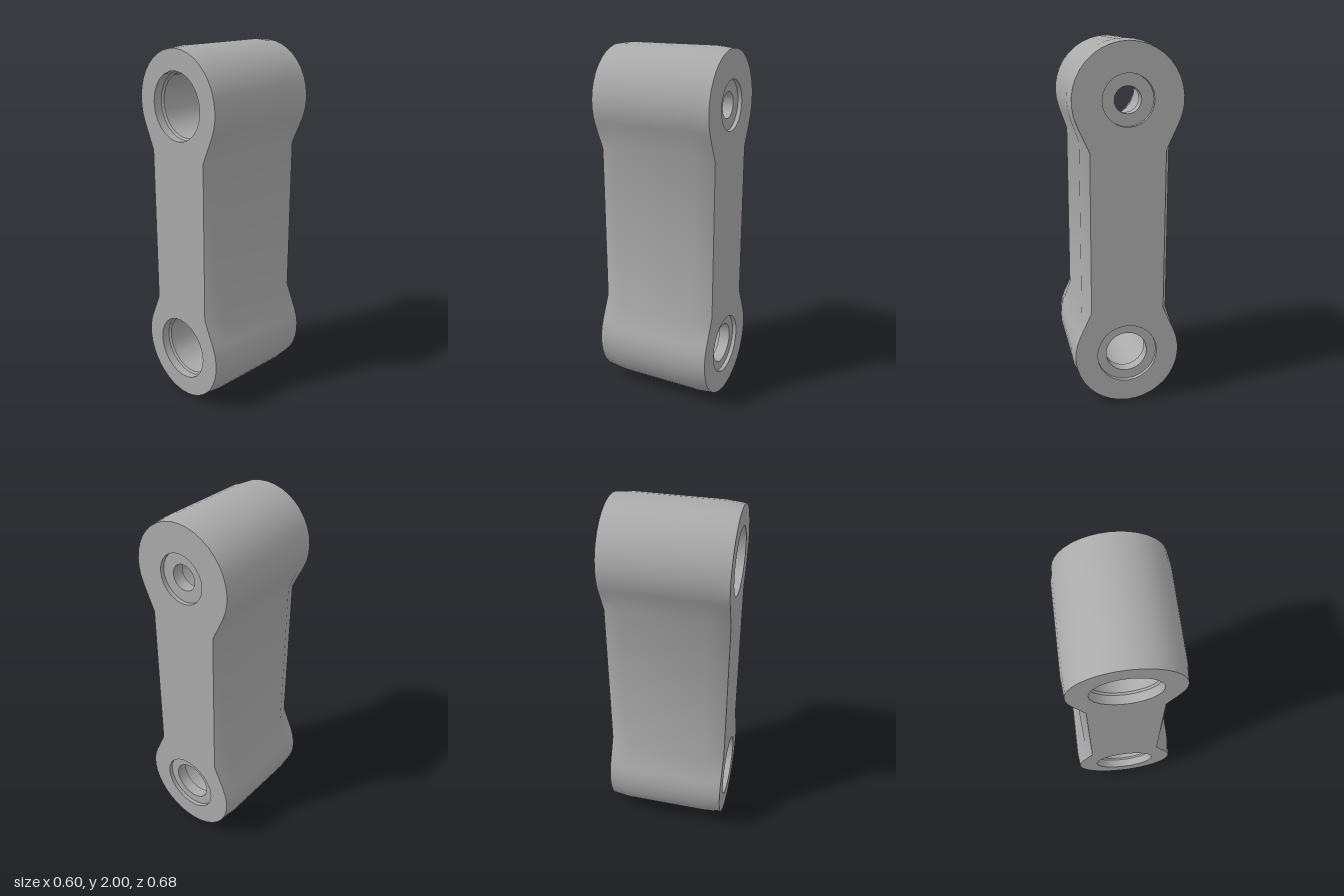
import * as THREE from 'three';
import { toCreasedNormals } from 'three/addons/utils/BufferGeometryUtils.js';

const HALF_DEPTH = 0.3375;
const LOW = 0.3, HIGH = 1.7; // lobe centres
const ARC = 24, SIDES = 24;

// Dog-bone outline, counter-clockwise: two lobes tangent to a straight waist
function outline(radius, waist, cornerDrop) {
  const tangent = Math.acos(radius / Math.hypot(waist, cornerDrop)) - Math.atan2(cornerDrop, waist);
  const upper = [new THREE.Vector2(waist, HIGH - cornerDrop)];
  for (let i = 0; i <= ARC; i++) {
    const a = tangent + (Math.PI - 2 * tangent) * i / ARC;
    upper.push(new THREE.Vector2(radius * Math.cos(a), HIGH + radius * Math.sin(a)));
  }
  upper.push(new THREE.Vector2(-waist, HIGH - cornerDrop));
  const lower = upper.map(p => new THREE.Vector2(-p.x, LOW + HIGH - p.y));
  return [...upper, ...lower];
}

// Side wall lofted through outlines at several depths
function loft(layers) {
  const n = layers[0].points.length, pos = [], index = [];
  for (const { points, z } of layers) for (const p of points) pos.push(p.x, p.y, z);
  for (let k = 0; k < layers.length - 1; k++) {
    for (let i = 0; i < n; i++) {
      const j = (i + 1) % n;
      const a = k * n + i, b = k * n + j, c = a + n, d = b + n;
      index.push(a, c, b, b, c, d);
    }
  }
  const g = new THREE.BufferGeometry();
  g.setAttribute('position', new THREE.Float32BufferAttribute(pos, 3));
  g.setIndex(index);
  return toCreasedNormals(g, 0.7);
}

// Flat end face with one round opening per lobe
function face(points, lowRadius, highRadius) {
  const shape = new THREE.Shape(points);
  for (const [y, r] of [[LOW, lowRadius], [HIGH, highRadius]]) {
    const hole = [];
    for (let i = 0; i < SIDES; i++) {
      const a = -2 * Math.PI * i / SIDES;
      hole.push(new THREE.Vector2(r * Math.cos(a), y + r * Math.sin(a)));
    }
    shape.holes.push(new THREE.Path(hole));
  }
  return new THREE.ShapeGeometry(shape);
}

// Stepped bore, profile given as [radius, z] from front to back
function bore(profile) {
  const g = new THREE.LatheGeometry(profile.map(([r, z]) => new THREE.Vector2(r, z)), SIDES);
  g.rotateX(Math.PI / 2);
  return toCreasedNormals(g, 0.6);
}

export function createModel() {
  const group = new THREE.Group();
  const metal = new THREE.MeshStandardMaterial({ color: 0xaaaaaa });
  metal.name = 'grey metal';
  const add = (name, geometry, y = 0) => {
    const mesh = new THREE.Mesh(geometry, metal);
    mesh.name = name;
    mesh.position.y = y;
    group.add(mesh);
    return mesh;
  };

  // Body: bevelled towards both end faces
  const edge = outline(0.29, 0.2, 0.26);
  const middle = outline(0.3, 0.24, 0.22);
  add('linkSides', loft([
    { points: edge, z: HALF_DEPTH },
    { points: middle, z: 0.24 },
    { points: middle, z: -0.24 },
    { points: edge, z: -HALF_DEPTH },
  ]));

  // End faces
  add('frontFace', face(edge, 0.18, 0.18)).position.z = HALF_DEPTH;
  const back = add('backFace', face(edge, 0.168, 0.135));
  back.rotation.y = Math.PI;
  back.position.z = -HALF_DEPTH;

  // Bores: wide from the front, small through hole, shallow recess at the back
  add('upperBore', bore([
    [0.18, HALF_DEPTH], [0.18, 0.29], [0.17, 0.28], [0.17, -0.22], [0.125, -0.22],
    [0.125, -0.25], [0.07, -0.25], [0.07, -0.315], [0.135, -0.315], [0.135, -HALF_DEPTH],
  ]), HIGH);
  add('lowerBore', bore([
    [0.18, HALF_DEPTH], [0.18, 0.29], [0.17, 0.28], [0.17, -0.25],
    [0.115, -0.25], [0.115, -0.315], [0.168, -0.315], [0.168, -HALF_DEPTH],
  ]), LOW);

  return group;
}
